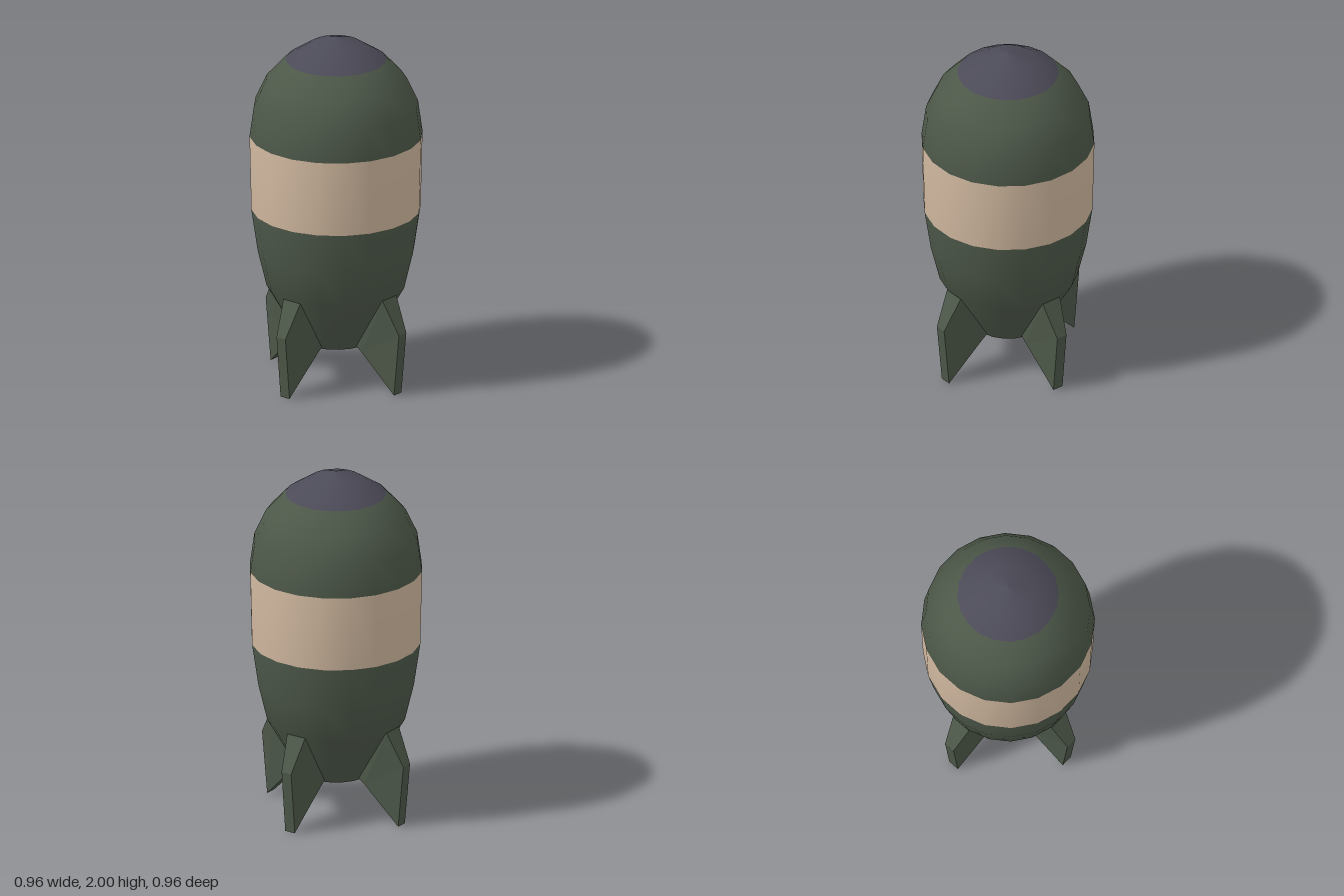
import * as THREE from 'three';

const SIDES = 20;

const material = (name, color) => {
  const m = new THREE.MeshStandardMaterial({ color });
  m.name = name;
  return m;
};

const lathe = (points) =>
  new THREE.LatheGeometry(points.map(([r, y]) => new THREE.Vector2(r, y)), SIDES);

// Keep only rings from..to of a lathe, so the shading runs smoothly over colour seams
function latheRings(points, from, to) {
  const geometry = lathe(points);
  const perSide = (points.length - 1) * 6;
  const kept = Array.from(geometry.index.array).filter((_, k) => {
    const ring = Math.floor((k % perSide) / 6);
    return ring >= from && ring < to;
  });
  geometry.setIndex(kept);
  return geometry;
}

// Tapered fin from three four-cornered cross-sections, pointing along +z
function finGeometry() {
  // [top radius, top y, bottom radius, bottom y, half thickness]
  const sections = [
    [0.32, 0.53, 0.17, 0.26, 0.06],
    [0.383, 0.55, 0.232, 0.215, 0.06],
    [0.477, 0.36, 0.442, 0, 0.032],
  ];
  const rings = sections.map(([rt, yt, rb, yb, h]) => [
    [-h, yt, rt], [h, yt, rt], [h, yb, rb], [-h, yb, rb],
  ]);
  const positions = [];
  const quad = (a, b, c, d) => positions.push(...a, ...b, ...c, ...a, ...c, ...d);
  for (let s = 0; s < 2; s++) {
    for (let i = 0; i < 4; i++) {
      const j = (i + 1) % 4;
      quad(rings[s][i], rings[s + 1][i], rings[s + 1][j], rings[s][j]);
    }
  }
  const [a, b, c, d] = rings[2];
  quad(a, d, c, b); // outer edge
  const geometry = new THREE.BufferGeometry();
  geometry.setAttribute('position', new THREE.Float32BufferAttribute(positions, 3));
  geometry.computeVertexNormals();
  return geometry;
}

export function createModel() {
  const green = material('olive green', 0x4d5849);
  const tan = material('tan', 0xd0b89f);
  const slate = material('slate', 0x4b4a57);

  const group = new THREE.Group();
  group.name = 'bomb';
  const add = (name, geometry, mat) => {
    const mesh = new THREE.Mesh(geometry, mat);
    mesh.name = name;
    group.add(mesh);
    return mesh;
  };

  // Body, from tail rim to nose tip
  const profile = [
    [0.2, 0.23], [0.385, 0.55], [0.435, 0.76], [0.47, 1.0], [0.48, 1.43],
    [0.455, 1.61], [0.39, 1.75], [0.28, 1.87], [0.145, 1.957], [0, 2],
  ];
  add('lowerBody', latheRings(profile, 0, 3), green);
  add('bodyBand', latheRings(profile, 3, 4), tan);
  add('upperBody', latheRings(profile, 4, 7), green);
  add('noseCap', latheRings(profile, 7, 9), slate);

  // Shallow cone closing the tail
  add('tailCap', lathe([[0, 0.165], [0.2, 0.23]]), green);

  // Four fins on the diagonals
  const fin = finGeometry();
  for (let i = 0; i < 4; i++) {
    add(`fin${i + 1}`, fin, green).rotation.y = Math.PI / 4 + (i * Math.PI) / 2;
  }
  return group;
}
